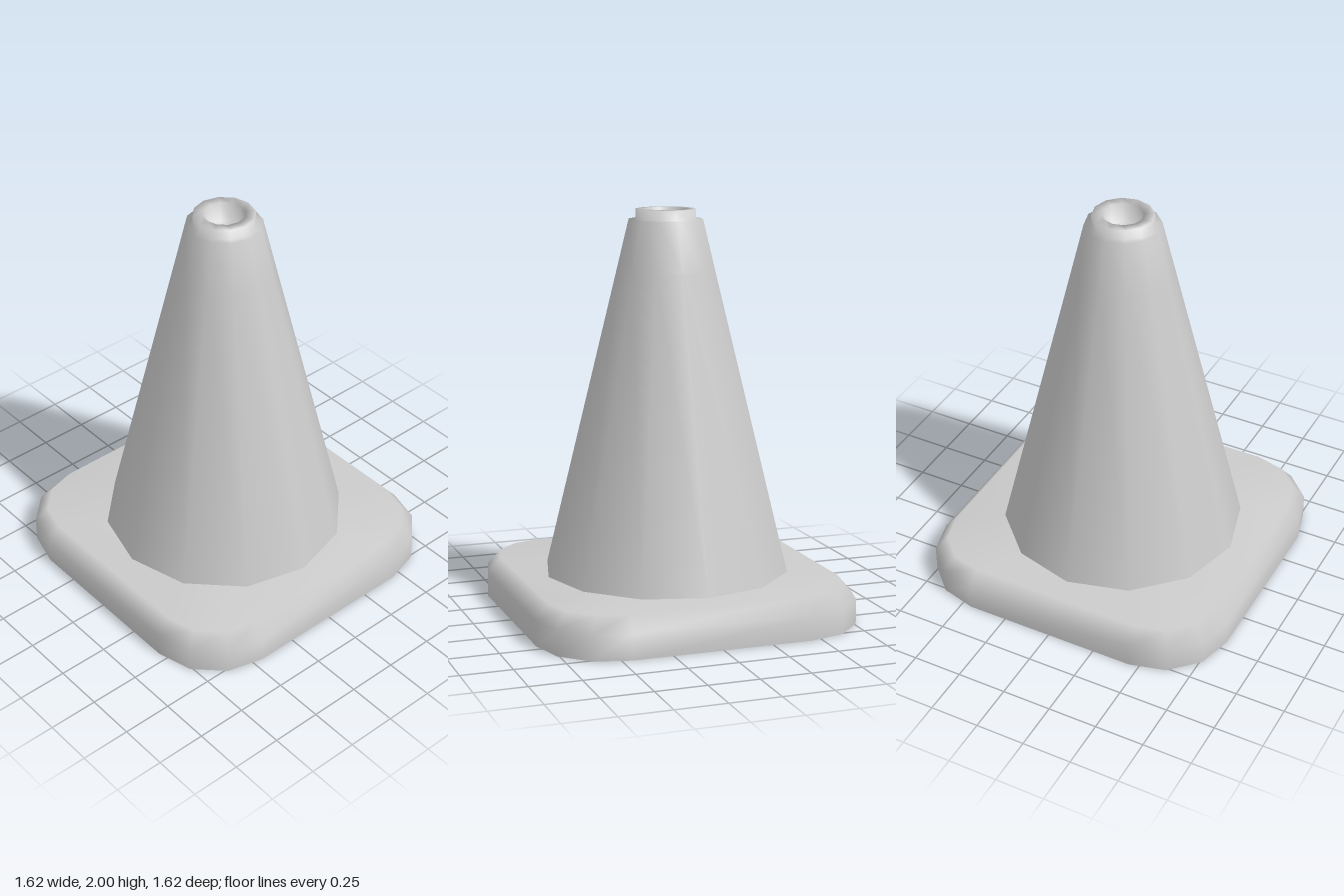
import * as THREE from 'three';

const material = new THREE.MeshStandardMaterial({ color: 0xcccccc });

// Outline of a rounded square (half width h, corner radius r), 4 points per corner
function roundedSquare(h, r, y) {
  const points = [];
  for (let corner = 0; corner < 4; corner++) {
    const middle = Math.PI / 4 + corner * Math.PI / 2;
    const cx = Math.sign(Math.sin(middle)) * (h - r);
    const cz = Math.sign(Math.cos(middle)) * (h - r);
    for (let k = 0; k < 4; k++) {
      const a = (corner + k / 3) * Math.PI / 2;
      points.push([cx + r * Math.sin(a), y, cz + r * Math.cos(a)]);
    }
  }
  return points;
}

// Smooth skin through rounded squares given as [halfWidth, radius, y]
function loft(sections) {
  const rings = sections.map(([h, r, y]) => roundedSquare(h, r, y));
  const n = rings[0].length;
  const index = [];
  for (let i = 0; i < rings.length - 1; i++) {
    for (let j = 0; j < n; j++) {
      const a = i * n + j, b = i * n + (j + 1) % n;
      index.push(a, b, b + n, a, b + n, a + n);
    }
  }
  const geometry = new THREE.BufferGeometry();
  geometry.setAttribute('position', new THREE.Float32BufferAttribute(rings.flat(2), 3));
  geometry.setIndex(index);
  geometry.computeVertexNormals();
  return geometry;
}

export function createModel() {
  const model = new THREE.Group();
  model.name = 'trafficCone';

  function add(name, geometry, parent) {
    const mesh = new THREE.Mesh(geometry, material);
    mesh.name = name;
    parent.add(mesh);
  }

  // Square foot: soft upper shell, flat rim underneath, hollow recess
  const base = new THREE.Group();
  base.name = 'base';
  model.add(base);
  add('baseShell', loft([[0.81, 0.36, 0], [0.81, 0.36, 0.125], [0.745, 0.3, 0.2], [0, 0, 0.2]]), base);
  add('baseUnderside', loft([[0.59, 0.18, 0], [0.81, 0.36, 0]]), base);
  add('recessWall', loft([[0.59, 0.18, 0.13], [0.59, 0.18, 0]]), base);
  add('recessCeiling', loft([[0, 0, 0.13], [0.59, 0.18, 0.13]]), base);

  // Twelve-sided cone with a stepped collar and a blind hole at the tip
  const profile = [
    [0.615, 0.2], [0.246, 1.7], [0.185, 1.95], [0.15, 1.95],
    [0.15, 2], [0.1, 2], [0.1, 1.9], [0, 1.9],
  ].map(([r, y]) => new THREE.Vector2(r, y));
  add('cone', new THREE.LatheGeometry(profile, 12), model);

  return model;
}
